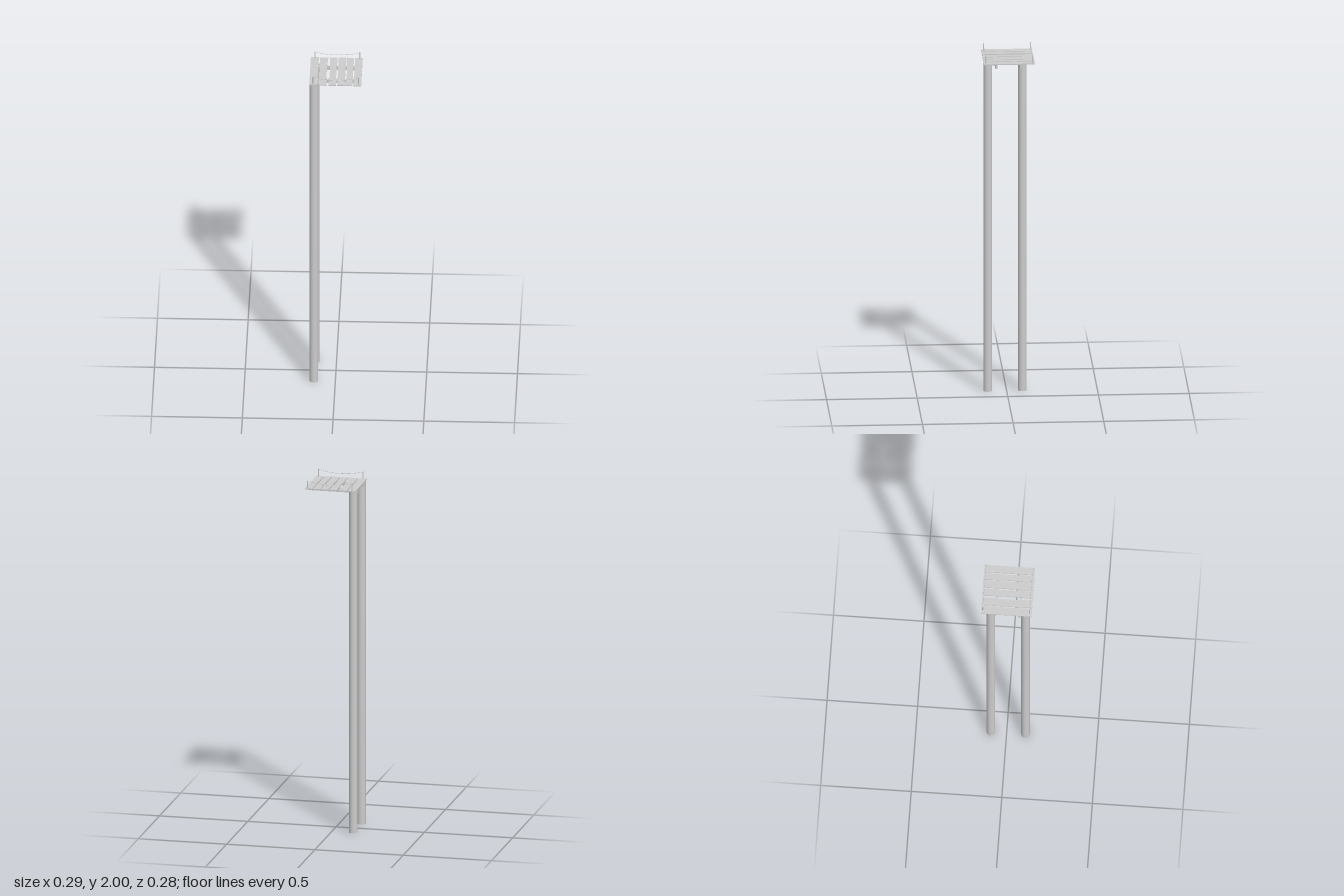
import * as THREE from 'three';

export function createModel() {
  const group = new THREE.Group();
  const material = new THREE.MeshStandardMaterial({ color: 0xcccccc });

  const add = (name, geometry, x = 0, y = 0, z = 0) => {
    const mesh = new THREE.Mesh(geometry, material);
    mesh.name = name;
    mesh.position.set(x, y, z);
    group.add(mesh);
    return mesh;
  };

  // Two tall round piles under the right edge of the deck
  for (const z of [-0.087, 0.104]) {
    add('pile', new THREE.CylinderGeometry(0.024, 0.024, 1.952, 24), -0.119, 0.976, z);
  }

  // Cross beams beside the piles
  for (const z of [-0.064, 0.071]) {
    add('beam', new THREE.BoxGeometry(0.283, 0.022, 0.012), -0.0005, 1.941, z);
  }

  // Deck boards: left edge, right edge, and how far each edge bows at mid-length
  const boards = [
    [-0.143, -0.099, 0, 0],
    [-0.092, -0.047, 0, -0.004],
    [-0.037, 0.005, 0.003, -0.003],
    [0.011, 0.054, 0, -0.002],
    [0.056, 0.096, 0.004, -0.002],
    [0.101, 0.143, 0.001, 0],
  ];
  const halfLength = 0.14, thickness = 0.006, steps = 10;
  for (const [x0, x1, bow0, bow1] of boards) {
    const points = [];
    for (let i = 0; i <= steps; i++) {
      const t = i / steps;
      points.push(new THREE.Vector2(x1 + bow1 * Math.sin(Math.PI * t), halfLength * (2 * t - 1)));
    }
    for (let i = steps; i >= 0; i--) {
      const t = i / steps;
      points.push(new THREE.Vector2(x0 + bow0 * Math.sin(Math.PI * t), halfLength * (2 * t - 1)));
    }
    const geometry = new THREE.ExtrudeGeometry(new THREE.Shape(points), {
      depth: thickness, bevelEnabled: false,
    });
    geometry.rotateX(-Math.PI / 2);
    add('deckBoard', geometry, 0, 1.952, -0.001);
  }

  // Slim railing posts with a sagging rope along each side
  const left = 0.129, right = -0.121, top = 2;
  for (const z of [-0.132, 0.127]) {
    for (const x of [right, left]) {
      add('railPost', new THREE.CylinderGeometry(0.003, 0.003, 0.046, 12), x, top - 0.023, z);
    }
    const rope = new THREE.QuadraticBezierCurve3(
      new THREE.Vector3(right, top - 0.002, z),
      new THREE.Vector3((left + right) / 2, top - 0.036, z),
      new THREE.Vector3(left, top - 0.002, z),
    );
    add('rope', new THREE.TubeGeometry(rope, 24, 0.001, 6));
  }

  return group;
}
